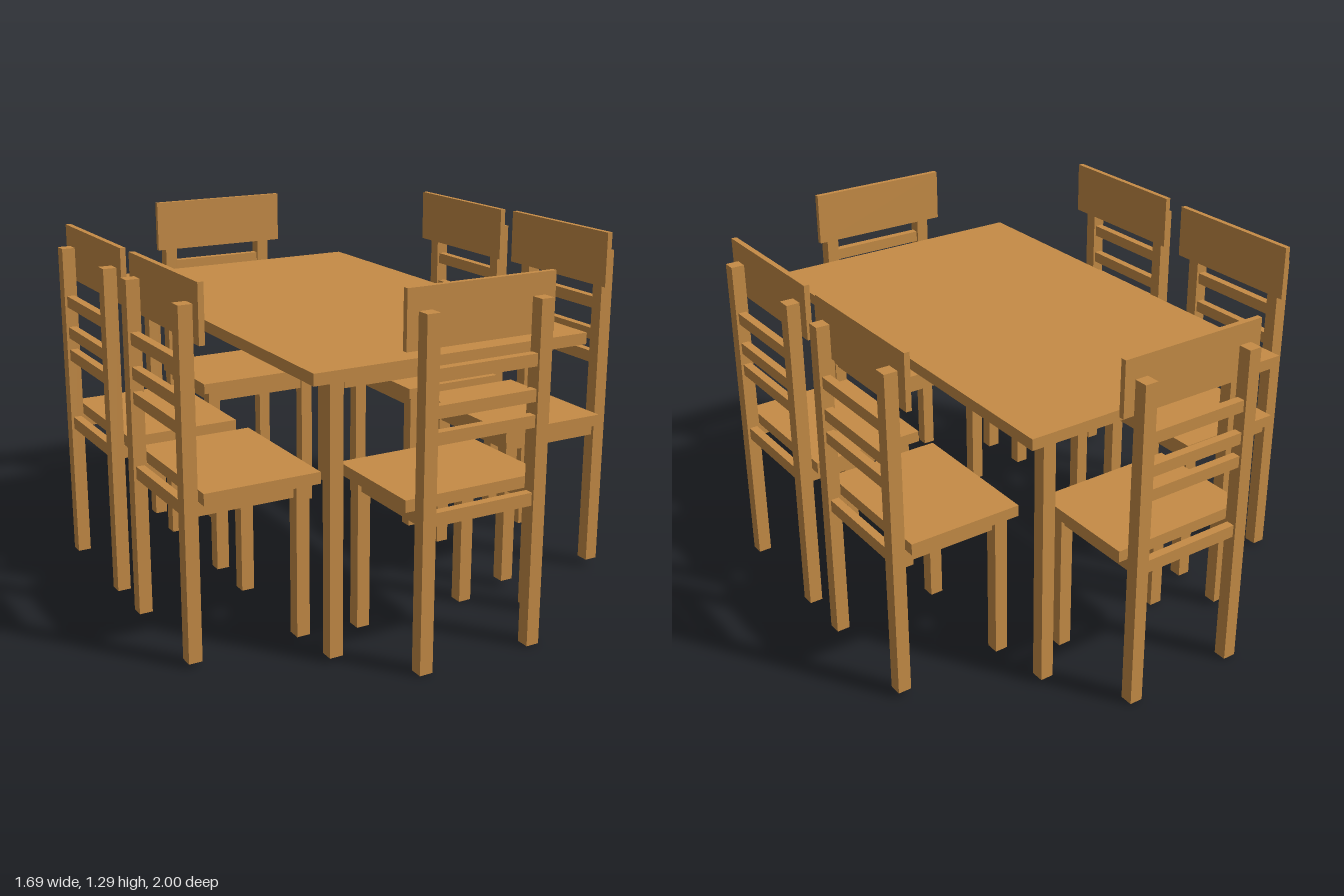
import * as THREE from 'three';

const wood = new THREE.MeshStandardMaterial({ color: 0xc68c46 });

// Adds a box given its extents along each axis.
function addBox(parent, name, [x0, x1], [y0, y1], [z0, z1]) {
  const mesh = new THREE.Mesh(new THREE.BoxGeometry(x1 - x0, y1 - y0, z1 - z0), wood);
  mesh.name = name;
  mesh.position.set((x0 + x1) / 2, (y0 + y1) / 2, (z0 + z1) / 2);
  parent.add(mesh);
}

const around = (c, size) => [c - size / 2, c + size / 2];

// Chair facing +z, with its back posts centred on the origin.
function createChair(name) {
  const chair = new THREE.Group();
  chair.name = name;
  const legX = 0.212, legZ = 0.396, leg = 0.048, rail = 0.03;
  const between = [-legX + leg / 2, legX - leg / 2];
  const apronY = [0.5, 0.545];

  for (const s of [-1, 1]) {
    addBox(chair, 'backPost', around(s * legX, leg), [0, 1.187], around(0, leg));
    addBox(chair, 'frontLeg', around(s * legX, leg), [0, 0.547], around(legZ, leg));
    addBox(chair, 'sideApron', around(s * legX, rail), apronY, [0.026, legZ - 0.03]);
  }
  addBox(chair, 'backApron', between, apronY, around(0, rail));
  addBox(chair, 'frontApron', between, apronY, around(legZ, rail));
  addBox(chair, 'seat', [-0.267, 0.267], [0.547, 0.588], [0.03, 0.446]);

  // Ladder back
  for (const y of [0.787, 0.873, 0.99]) {
    addBox(chair, 'backSlat', between, around(y, 0.042), around(0, rail));
  }
  addBox(chair, 'headrest', [-0.277, 0.277], [1.065, 1.261], [0.024, 0.044]);
  return chair;
}

// Table centred on its own origin.
function createTable() {
  const table = new THREE.Group();
  table.name = 'table';
  const legX = 0.397, legZ = 0.736, leg = 0.048, rail = 0.03;
  const apronY = [0.925, 0.972];

  addBox(table, 'tableTop', [-0.518, 0.518], [0.972, 1.012], [-0.832, 0.832]);
  for (const s of [-1, 1]) {
    for (const t of [-1, 1]) {
      addBox(table, 'tableLeg', around(s * legX, leg), [0.017, 0.972], around(t * legZ, leg));
    }
    addBox(table, 'tableSideApron', around(s * legX, rail), apronY, [-0.702, 0.702]);
    addBox(table, 'tableEndApron', [-0.366, 0.366], apronY, around(s * legZ, rail));
  }
  return table;
}

export function createModel() {
  const model = new THREE.Group();
  model.name = 'diningSet';

  const table = createTable();
  table.position.set(-0.01, 0, 0.022);
  model.add(table);

  // Chairs: name, position, turn about y in quarter turns
  const chairs = [
    ['frontChair', 0.012, 0.001, 0.976, 2],
    ['backChair', -0.003, 0.004, -0.976, 0],
    ['rightFrontChair', -0.823, 0.016, 0.357, 1],
    ['rightBackChair', -0.817, 0.012, -0.292, 1],
    ['leftFrontChair', 0.823, 0.027, 0.342, -1],
    ['leftBackChair', 0.823, 0.022, -0.288, -1],
  ];
  for (const [name, x, y, z, turns] of chairs) {
    const chair = createChair(name);
    chair.position.set(x, y, z);
    chair.rotation.y = turns * Math.PI / 2;
    model.add(chair);
  }
  return model;
}
